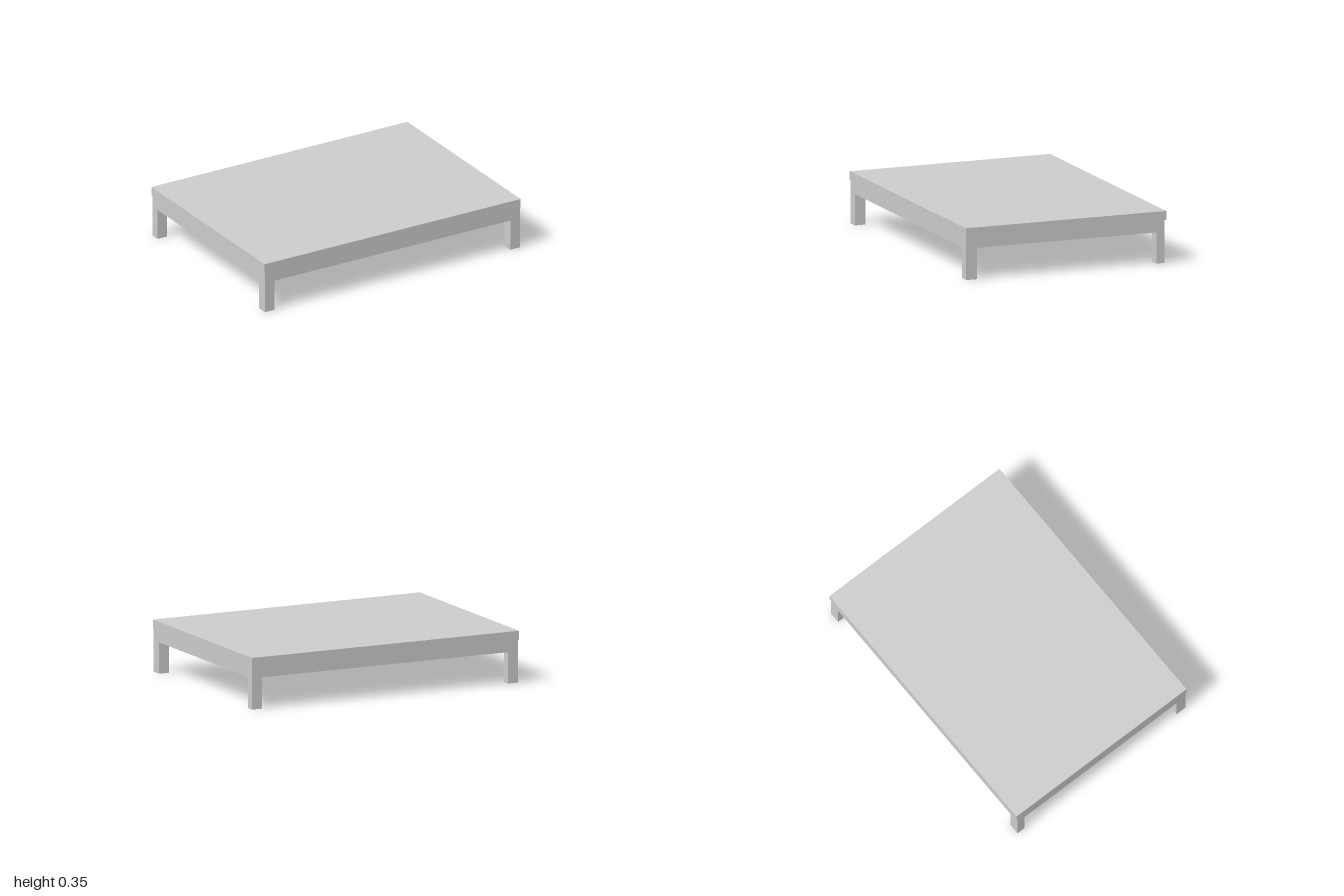
import * as THREE from 'three';

const material = new THREE.MeshStandardMaterial({ color: 0xcccccc });

// Box given by its minimum and maximum along each axis
function box(name, [x0, x1], [y0, y1], [z0, z1]) {
  const mesh = new THREE.Mesh(new THREE.BoxGeometry(x1 - x0, y1 - y0, z1 - z0), material);
  mesh.name = name;
  mesh.position.set((x0 + x1) / 2, (y0 + y1) / 2, (z0 + z1) / 2);
  return mesh;
}

export function createModel() {
  const table = new THREE.Group();
  table.name = 'lowTable';

  const apronBottom = 0.213, apronTop = 0.293, height = 0.354;
  const sideX = 0.996, innerX = 0.921;

  // Slab with a slight overhang, above a solid apron block
  table.add(box('tableTop', [-1, 1], [apronTop, height], [-0.724, 0.724]));
  table.add(box('apron', [-sideX, sideX], [apronBottom, apronTop], [-0.713, 0.72]));

  // Legs flush with the apron corners; the front pair is a little deeper
  const rows = { front: [0.643, 0.72], back: [-0.713, -0.654] };
  for (const [row, z] of Object.entries(rows)) {
    table.add(box(`${row}LeftLeg`, [innerX, sideX], [0, apronBottom], z));
    table.add(box(`${row}RightLeg`, [-sideX, -innerX], [0, apronBottom], z));
  }
  return table;
}
